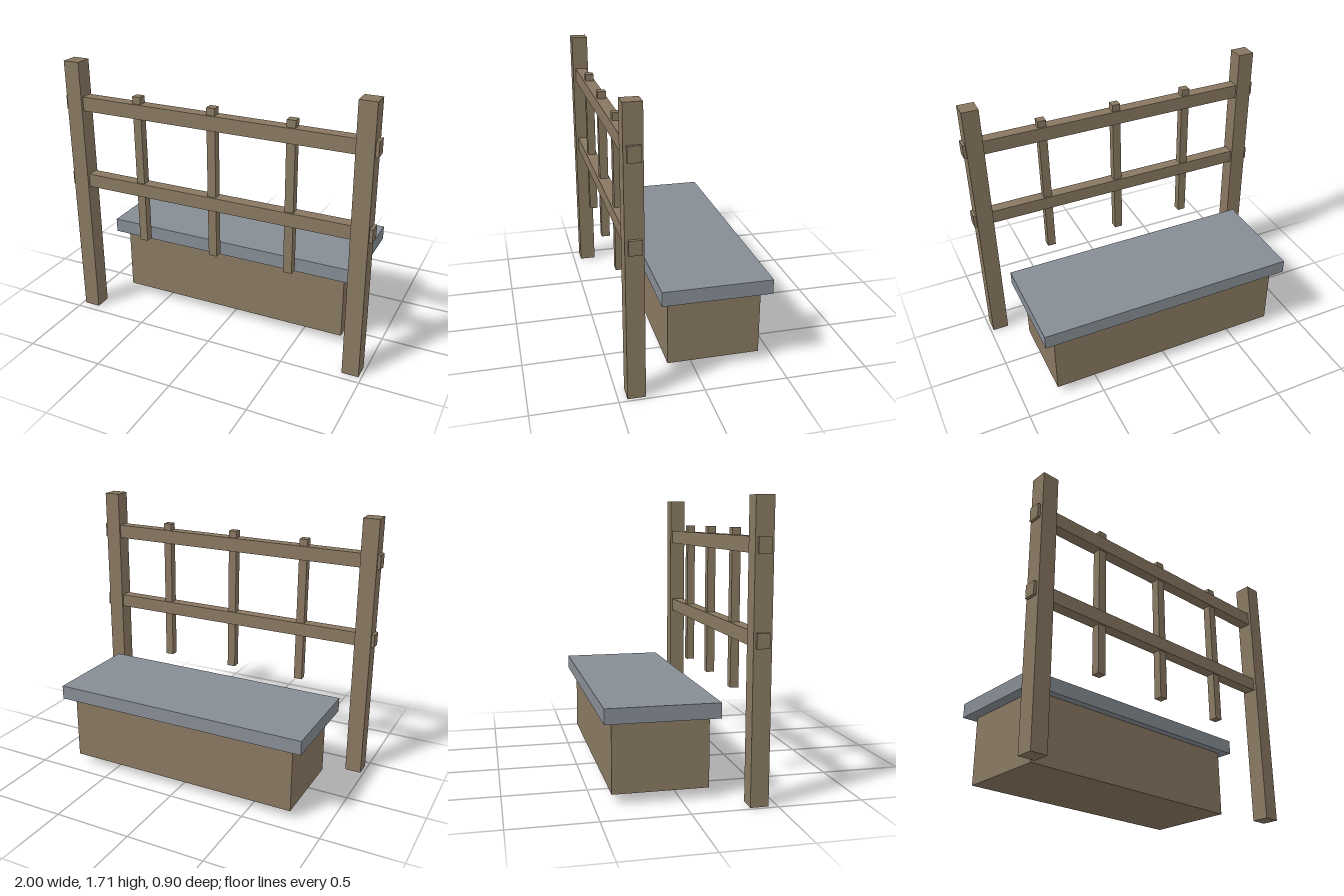
import * as THREE from 'three';

export function createModel() {
  const model = new THREE.Group();
  const wood = new THREE.MeshStandardMaterial({ color: 0x887861 });
  wood.name = 'weathered wood';
  const slate = new THREE.MeshStandardMaterial({ color: 0x868d95 });
  slate.name = 'slate grey';

  // Box centred on x and z, standing on height y
  function addBox(name, material, [w, h, d], x, y, z) {
    const mesh = new THREE.Mesh(new THREE.BoxGeometry(w, h, d), material);
    mesh.name = name;
    mesh.position.set(x, y + h / 2, z);
    model.add(mesh);
  }

  // Chest with an overhanging lid
  addBox('chestBody', wood, [1.547, 0.42, 0.565], 0, 0.06, -0.117);
  addBox('chestLid', slate, [1.684, 0.09, 0.665], 0, 0.48, -0.1175);

  // Frame: two posts, two rails passing through them, three slats
  const frameZ = 0.395;
  for (const side of [-1, 1]) {
    addBox(side > 0 ? 'leftPost' : 'rightPost', wood, [0.105, 1.71, 0.106], side * 0.929, 0, frameZ);
  }
  addBox('lowerRail', wood, [2, 0.086, 0.074], 0, 0.891, frameZ - 0.002);
  addBox('upperRail', wood, [2, 0.09, 0.074], 0, 1.4, frameZ - 0.002);
  for (const x of [-0.497, 0, 0.497]) {
    addBox('slat', wood, [0.054, 0.955, 0.052], x, 0.58, frameZ - 0.003);
  }
  return model;
}
